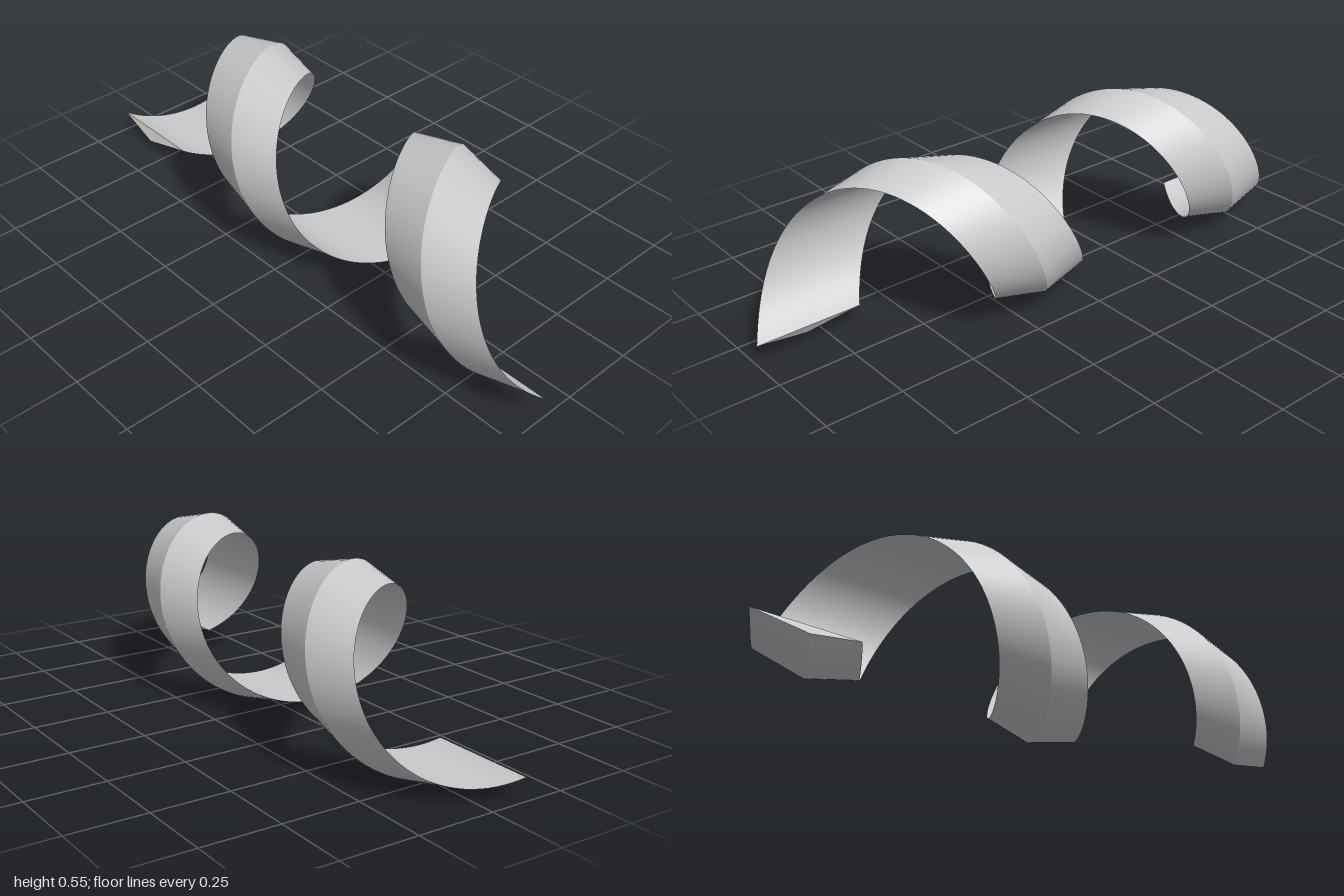
import * as THREE from 'three';

const TURNS = 2, STEPS = 160;
const START = (240 * Math.PI) / 180; // angle of the front end
const HALF_RUN = 0.825;              // ridge travels from +z to -z
const CENTRE_Y = 0.275;

// Triangular cross-section as [radius, z offset]: flat inside, ridge outside
const SECTION = [[0.235, 0.175], [0.275, 0], [0.235, -0.175]];

// Point of one section corner at t = 0 (front) to 1 (back)
function helixPoint([radius, dz], t) {
  const a = START - t * TURNS * Math.PI * 2;
  return [radius * Math.cos(a), CENTRE_Y + radius * Math.sin(a), HALF_RUN * (1 - 2 * t) + dz];
}

function makeGeometry(positions, index) {
  const geometry = new THREE.BufferGeometry();
  geometry.setAttribute('position', new THREE.Float32BufferAttribute(positions, 3));
  geometry.setIndex(index);
  geometry.computeVertexNormals();
  return geometry;
}

// Smooth strip swept between two section corners
function stripGeometry(p, q) {
  const positions = [], index = [];
  for (let i = 0; i <= STEPS; i++) {
    const t = i / STEPS;
    positions.push(...helixPoint(p, t), ...helixPoint(q, t));
    if (i < STEPS) {
      const k = i * 2;
      index.push(k, k + 2, k + 1, k + 1, k + 2, k + 3);
    }
  }
  return makeGeometry(positions, index);
}

// Triangle closing one end
function capGeometry(t, order) {
  return makeGeometry(SECTION.flatMap((corner) => helixPoint(corner, t)), order);
}

export function createModel() {
  const group = new THREE.Group();
  group.name = 'spiralRibbon';
  const material = new THREE.MeshStandardMaterial({ color: 0xcccccc });
  const add = (name, geometry) => {
    const mesh = new THREE.Mesh(geometry, material);
    mesh.name = name;
    group.add(mesh);
  };

  // Separate strips keep the ridge and edges sharp
  ['outerFrontSlope', 'outerBackSlope', 'innerFace'].forEach((name, i) =>
    add(name, stripGeometry(SECTION[i], SECTION[(i + 1) % 3])));

  add('frontEndCap', capGeometry(0, [0, 1, 2]));
  add('backEndCap', capGeometry(1, [0, 2, 1]));
  return group;
}
